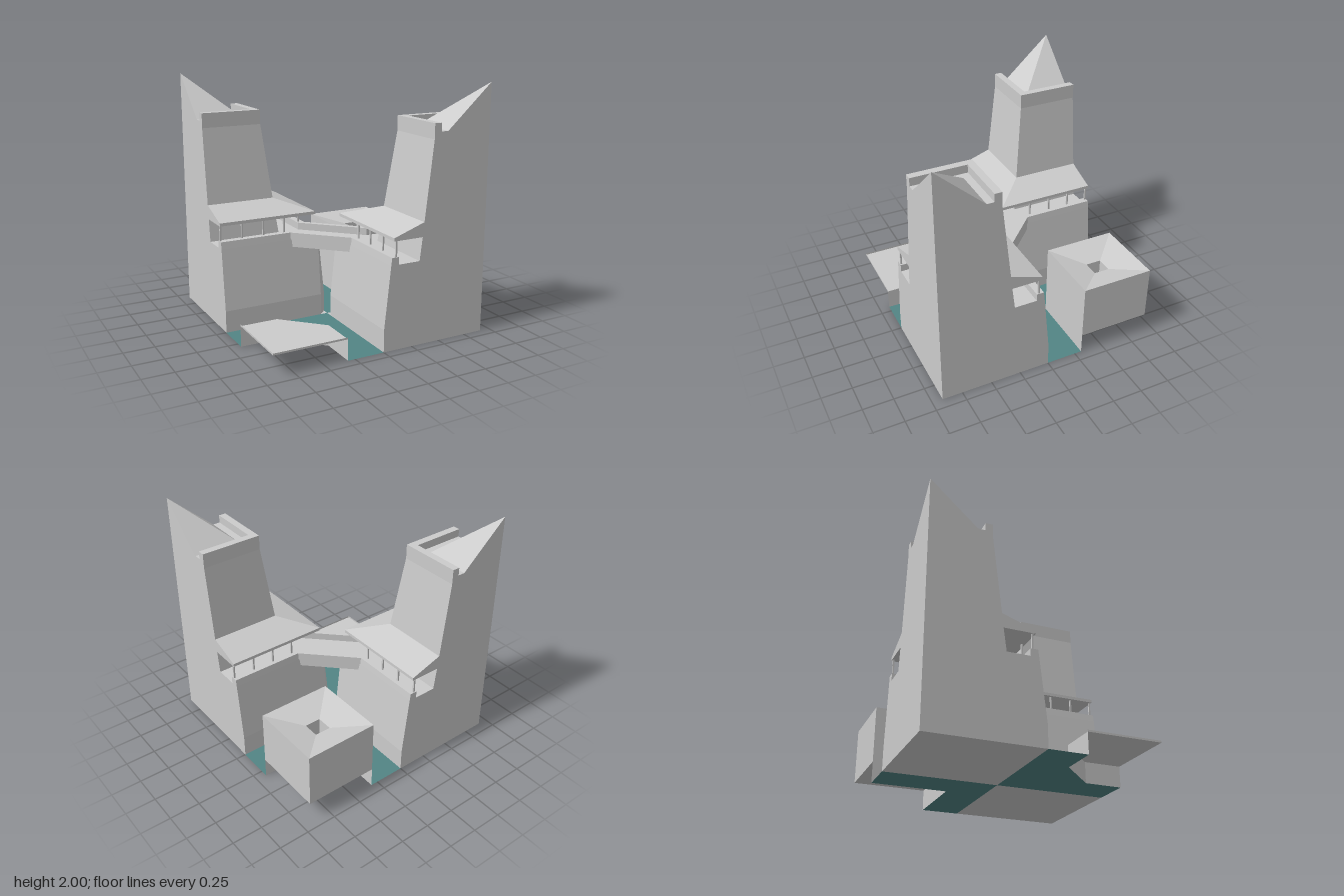
import * as THREE from 'three';

const E = 0.915;      // half width of the block
const S = 0.31;       // canal width
const GROUND = 0.17;  // street level above the water

const stone = new THREE.MeshStandardMaterial({ color: 0xcccccc, flatShading: true, side: THREE.DoubleSide });
const teal = new THREE.MeshStandardMaterial({ color: 0x528585, flatShading: true, side: THREE.DoubleSide });

function add(parent, name, geometry, material = stone) {
  const mesh = new THREE.Mesh(geometry, material);
  mesh.name = name;
  parent.add(mesh);
  return mesh;
}

// Geometry from a list of four-cornered faces
function quads(faces) {
  const pos = [];
  for (const [a, b, c, d] of faces) pos.push(...a, ...b, ...c, ...a, ...c, ...d);
  const g = new THREE.BufferGeometry();
  g.setAttribute('position', new THREE.Float32BufferAttribute(pos, 3));
  g.computeVertexNormals();
  return g;
}

const shapeOf = pts => new THREE.Shape(pts.map(([x, y]) => new THREE.Vector2(x, y)));

// Flat polygon in plan (x, z) at height y
const floor = (pts, y) =>
  new THREE.ShapeGeometry(shapeOf(pts.map(([x, z]) => [x, -z]))).rotateX(-Math.PI / 2).translate(0, y, 0);

// Upright prism over a plan polygon
const prism = (pts, y0, y1) =>
  new THREE.ExtrudeGeometry(shapeOf(pts.map(([x, z]) => [x, -z])), { depth: y1 - y0, bevelEnabled: false })
    .rotateX(-Math.PI / 2).translate(0, y0, 0);

// Vertical sheet between two plan points
const wall = ([x0, z0], [x1, z1], y0, y1) =>
  [[x0, y0, z0], [x1, y0, z1], [x1, y1, z1], [x0, y1, z0]];

// Tower profile: inset, height, and where the face starts along the wall (default: the mitre)
const PROFILE = [
  [0, 0, 0.06], [0, 0.18, 0.06], [0.053, 0.68, 0.06],         // battered base with bevelled corner
  [0.053, 0.68, S], [0.06, 0.74, S], [0.12, 0.74, S], [0.12, 0.68, S], // gallery parapet, open at the bridge
  [0.305, 0.68], [0.328, 0.865],                               // gallery floor and back wall
  [0.075, 0.865], [0.075, 0.89], [0.34, 0.98],                 // lean-to roof
  [0.41, 1.6], [0.41, 1.72], [0.47, 1.72], [0.47, 1.655],      // shaft and roof parapet
  [0.53, 1.655], [E, 2],                                       // spire
];

// Quarter tower: the profile swept along two walls, with flat cut faces behind
function makeTower(name) {
  const tower = new THREE.Group();
  tower.name = name;
  const faces = [];
  for (let i = 0; i < PROFILE.length - 1; i++) {
    const [t0, y0, s0 = t0] = PROFILE[i];
    const [t1, y1, s1 = t1] = PROFILE[i + 1];
    faces.push([[t0, y0, s0], [t0, y0, E], [t1, y1, E], [t1, y1, s1]]);
    faces.push([[s0, y0, t0], [s1, y1, t1], [E, y1, t1], [E, y0, t0]]);
    if (i < 2) faces.push([[s0, y0, t0], [t0, y0, s0], [t1, y1, s1], [s1, y1, t1]]);
  }
  faces.push([[0, 0, 0], [E, 0, 0], [E, 0, E], [0, 0, E]]);
  add(tower, 'towerWalls', quads(faces));

  const outline = PROFILE.filter((p, i) => i !== 3).map(([t, y]) => [t, y]);
  outline.push([E, 0]);
  add(tower, 'cutFaceZ', new THREE.ShapeGeometry(shapeOf(outline)).translate(0, 0, E));
  add(tower, 'cutFaceX', new THREE.ShapeGeometry(shapeOf(outline.map(([t, y]) => [-t, y])))
    .rotateY(Math.PI / 2).translate(E, 0, 0));

  // Gallery posts on both sides
  for (const d of [0.35, 0.535, 0.72, 0.903]) {
    for (const [x, z] of [[0.1, d], [d, 0.1]]) {
      add(tower, 'galleryPost', new THREE.BoxGeometry(0.013, 0.125, 0.013)).position.set(x, 0.8025, z);
    }
  }
  return tower;
}

function makeBridge() {
  const bridge = new THREE.Group();
  bridge.name = 'bridge';
  add(bridge, 'bridgeDeck',
    prism([[-S, -0.06], [0.06, S], [S, S], [S, 0.06], [-0.06, -S], [-S, -S]], 0.62, 0.68));
  for (const m of [1, -1]) {
    add(bridge, 'bridgeParapet',
      prism([[-S, -0.06], [0.06, S], [0.12, S], [-S, -0.12]].map(([x, z]) => [m * x, m * z]), 0.68, 0.74));
  }
  return bridge;
}

// Courtyard house: four-sided, roof sloping in to a small light well
function makeHouse() {
  const house = new THREE.Group();
  house.name = 'house';
  const mid = (S + E) / 2, half = (E - S) / 2;
  const profile = [[0, GROUND], [half, GROUND], [half, 0.625], [0.065, 0.56], [0.065, GROUND]]
    .map(([r, y]) => new THREE.Vector2(r * Math.SQRT2, y));
  add(house, 'houseBody', new THREE.LatheGeometry(profile, 4, Math.PI / 4)).position.set(mid, 0, -mid);
  add(house, 'houseQuayWall', quads([
    wall([S, -E], [S, -S], 0, GROUND),
    wall([S, -S], [E, -S], 0, GROUND),
  ]));
  return house;
}

// Paved square with a bevelled corner, quay walls and a thin outer rim
function makeSquare() {
  const square = new THREE.Group();
  square.name = 'square';
  const a = [-E, S], b = [-0.61, S], c = [-S, 0.61], d = [-S, E], e = [-E, E];
  add(square, 'paving', floor([a, b, c, d, e], GROUND));
  add(square, 'quayWall', quads([wall(b, a, 0, GROUND), wall(c, b, 0, GROUND), wall(d, c, 0, GROUND)]));
  add(square, 'rim', quads([wall(a, e, GROUND, 0.185), wall(e, d, GROUND, 0.185)]));
  return square;
}

export function createModel() {
  const model = new THREE.Group();
  model.name = 'canalBlock';

  const back = makeTower('backTower');
  back.rotation.y = Math.PI;
  model.add(makeTower('frontTower'), back, makeBridge(), makeHouse(), makeSquare());

  // Canal water in the two free quarters
  add(model, 'canalHouseSide', floor([[0, 0], [E, 0], [E, -S], [S, -S], [S, -E], [0, -E]], 0), teal);
  add(model, 'canalSquareSide',
    floor([[0, 0], [-E, 0], [-E, S], [-0.61, S], [-S, 0.61], [-S, E], [0, E]], 0), teal);
  return model;
}
